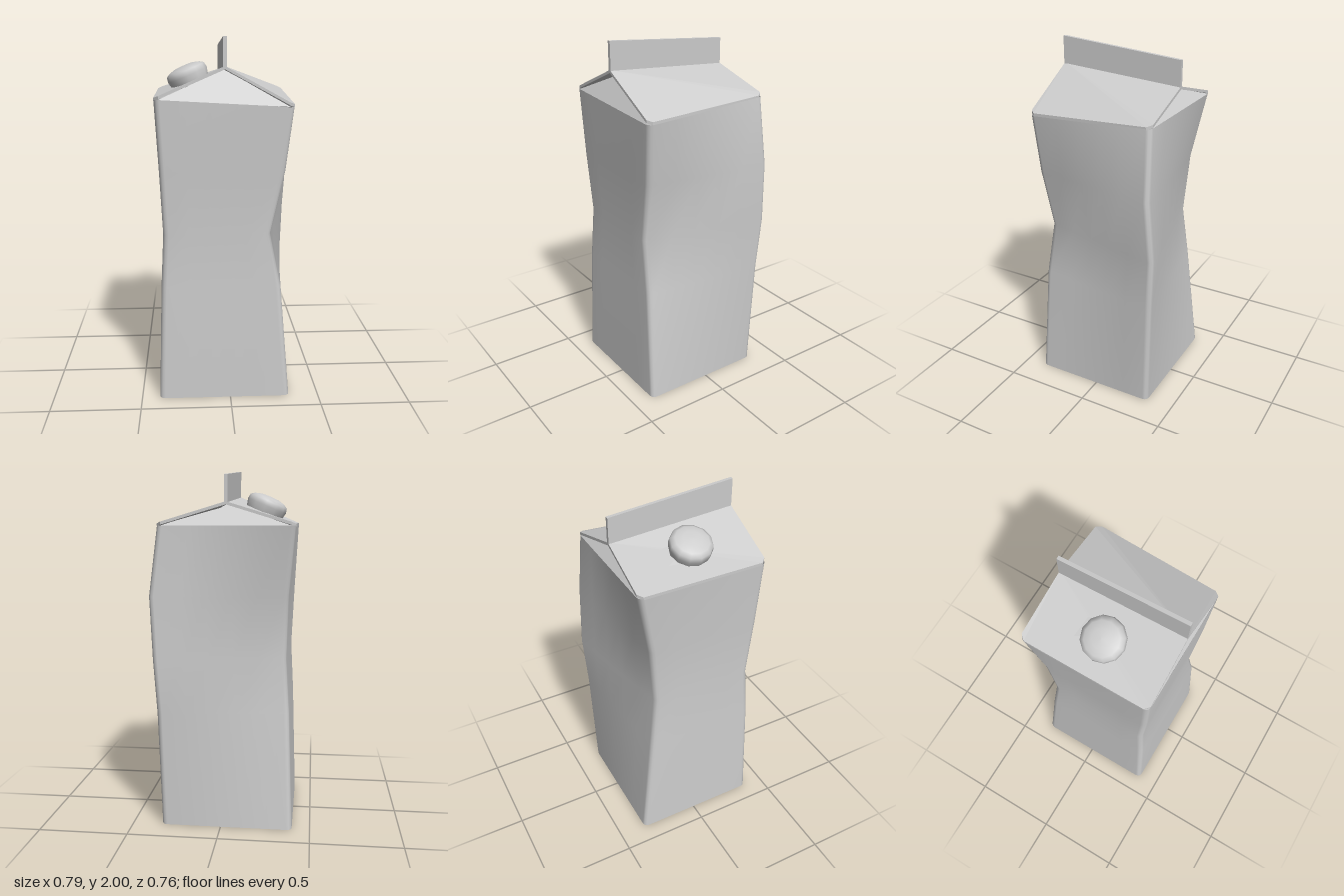
import * as THREE from 'three';

const material = new THREE.MeshStandardMaterial({ color: 0xcccccc, side: THREE.DoubleSide });

function addMesh(parent, name, geometry) {
  const mesh = new THREE.Mesh(geometry, material);
  mesh.name = name;
  parent.add(mesh);
  return mesh;
}

// Flat-shaded geometry from convex polygons of [x, y, z] corners
function facets(polygons) {
  const pos = [];
  for (const p of polygons) {
    for (let i = 1; i < p.length - 1; i++) pos.push(...p[0], ...p[i], ...p[i + 1]);
  }
  const g = new THREE.BufferGeometry();
  g.setAttribute('position', new THREE.Float32BufferAttribute(pos, 3));
  g.computeVertexNormals();
  return g;
}

// Thin sheet hanging below a polygon listed counterclockwise from above
function sheet(top, thickness) {
  const low = top.map(([x, y, z]) => [x, y - thickness, z]);
  const sides = top.map((p, i) => {
    const j = (i + 1) % top.length;
    return [low[i], low[j], top[j], p];
  });
  return facets([top, low.slice().reverse(), ...sides]);
}

// Corner signs: front left, back left, back right, front right (x, z)
const X = [0.335, 0.335, -0.4, -0.4];
const Z = [0.385, -0.345, -0.345, 0.385];
const SX = [1, 1, -1, -1];
const SZ = [1, -1, -1, 1];

// Crumple: height, then the [dx, dz] shift of each corner
const LEVELS = [
  [0, [0, 0], [0, 0], [0, 0], [0, 0]],
  [0.65, [-0.055, -0.018], [0.018, -0.018], [0.025, 0.07], [0.02, -0.018]],
  [0.95, [-0.115, -0.035], [0.035, -0.035], [0.045, 0.105], [0.035, -0.035]],
  [1.3, [-0.04, -0.015], [0.055, -0.015], [0.035, 0.075], [0.02, -0.013]],
  [1.65, [0, 0], [0.008, 0], [0, 0], [0, 0]],
];
const EAVES = [1.64, 1.68, 1.68, 1.68];
const RADIUS = 0.03, ARC = 3, SPLIT = 5;

// Rounded-rectangle cross-section of the carton
function ring(level, isTop) {
  const corners = X.map((x, k) => {
    const [dx, dz] = level[k + 1];
    const cx = x + dx - SX[k] * RADIUS, cz = Z[k] + dz - SZ[k] * RADIUS;
    const y = isTop ? EAVES[k] : level[0];
    return Array.from({ length: ARC + 1 }, (_, i) => {
      const a = (k - 1 + i / ARC) * Math.PI / 2;
      return [cx + RADIUS * Math.cos(a), y, cz - RADIUS * Math.sin(a)];
    });
  });
  const points = [];
  corners.forEach((arc, k) => {
    points.push(...arc);
    const a = arc[ARC], b = corners[(k + 1) % 4][0];
    for (let i = 1; i < SPLIT; i++) points.push(a.map((v, c) => v + (b[c] - v) * i / SPLIT));
  });
  return points;
}

function wallGeometry(rings) {
  const n = rings[0].length, index = [];
  for (let r = 0; r < rings.length - 1; r++) {
    for (let i = 0; i < n; i++) {
      const j = (i + 1) % n;
      const a = r * n + i, b = r * n + j, c = b + n, d = a + n;
      index.push(a, b, c, a, c, d);
    }
  }
  const g = new THREE.BufferGeometry();
  g.setAttribute('position', new THREE.Float32BufferAttribute(rings.flat(2), 3));
  g.setIndex(index);
  g.computeVertexNormals();
  return g;
}

export function createModel() {
  const carton = new THREE.Group();
  carton.name = 'carton';

  // Crumpled walls and base
  const rings = LEVELS.map((level, i) => ring(level, i === LEVELS.length - 1));
  addMesh(carton, 'walls', wallGeometry(rings));
  addMesh(carton, 'base', facets([rings[0].slice().reverse()]));

  // Sloping roof panels with clipped eave corners
  const ridgeFront = [-0.03, 1.85, 0.385], ridgeBack = [-0.03, 1.805, -0.333];
  addMesh(carton, 'leftRoofPanel', sheet([
    ridgeFront, [0.312, 1.664, 0.385], [0.335, 1.655, 0.36],
    [0.343, 1.69, -0.32], [0.32, 1.70, -0.346], ridgeBack,
  ], 0.016));
  addMesh(carton, 'rightRoofPanel', sheet([
    ridgeBack, [-0.375, 1.70, -0.346], [-0.4, 1.69, -0.32],
    [-0.4, 1.69, 0.36], [-0.375, 1.70, 0.385], ridgeFront,
  ], 0.016));

  // Gables folded inward under the roof
  addMesh(carton, 'frontGable', facets([
    [[-0.375, 1.68, 0.384], [0.31, 1.642, 0.384], [-0.03, 1.83, 0.27]],
  ]));
  addMesh(carton, 'backGable', facets([
    [[0.318, 1.68, -0.344], [-0.375, 1.68, -0.344], [-0.03, 1.795, -0.23]],
  ]));

  // Upright sealing fin along the ridge, drawn in z and y
  const finShape = new THREE.Shape([
    [0.385, 1.835], [0.385, 2], [-0.333, 1.945], [-0.333, 1.79],
  ].map(([z, y]) => new THREE.Vector2(z, y)));
  const finGeometry = new THREE.ExtrudeGeometry(finShape, { depth: 0.02, bevelEnabled: false });
  finGeometry.rotateY(-Math.PI / 2).translate(-0.02, 0, 0);
  addMesh(carton, 'ridgeFin', finGeometry);

  // Screw cap seated on the right roof panel
  const capProfile = [[0.108, -0.02], [0.117, 0.02], [0.112, 0.048], [0.09, 0.062], [0.05, 0.073], [0, 0.075]];
  const cap = addMesh(carton, 'cap', new THREE.LatheGeometry(
    capProfile.map(([r, y]) => new THREE.Vector2(r, y)), 12));
  cap.position.set(-0.215, 1.77, 0.035);
  cap.rotation.z = 0.4;

  return carton;
}
